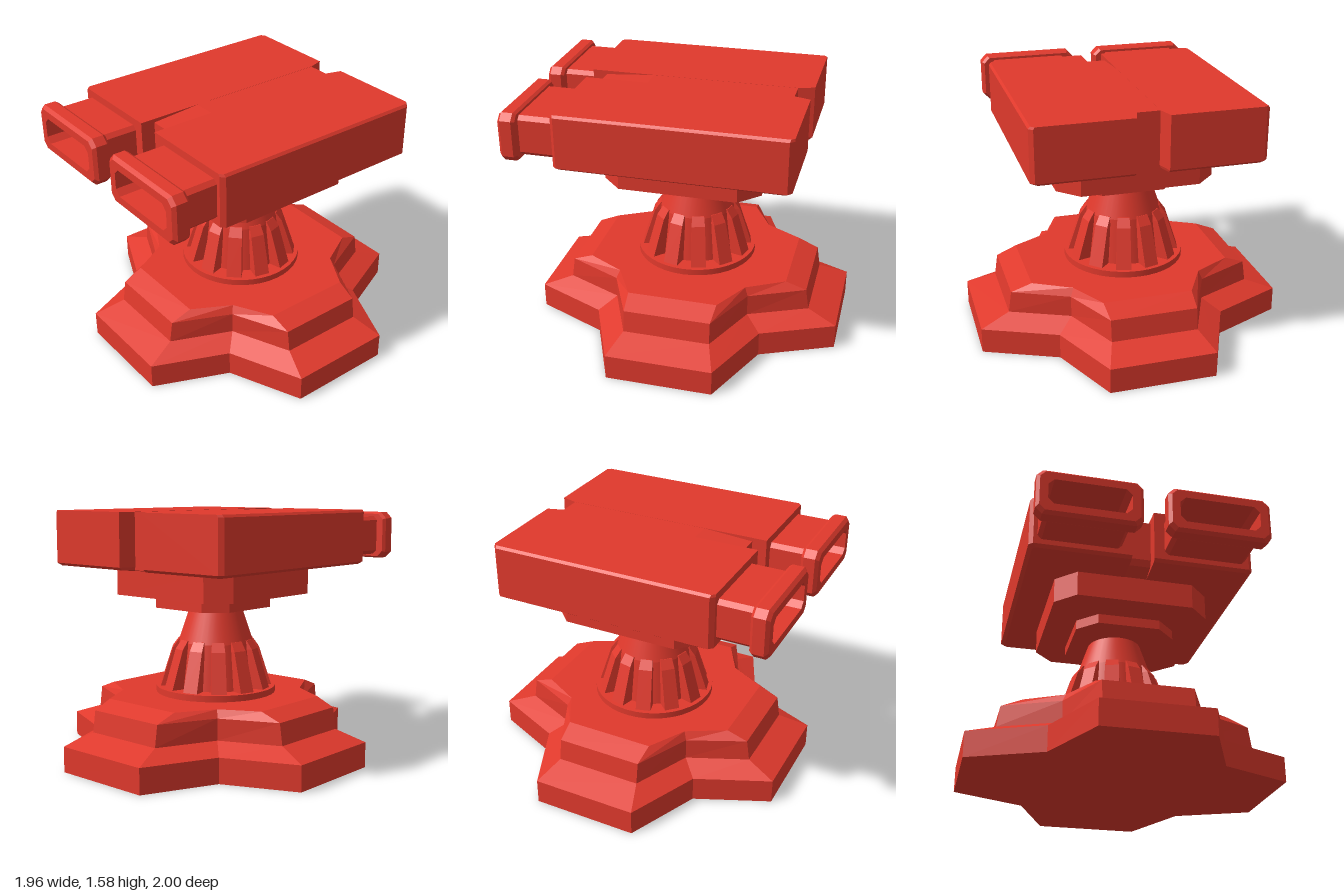
import * as THREE from 'three';

const flat = new THREE.MeshStandardMaterial({ color: 0xe0392c, flatShading: true });
const smooth = new THREE.MeshStandardMaterial({ color: 0xe0392c });

// Joins equal-length rings (counter-clockwise seen from the loft direction) and caps both ends.
function loft(rings) {
  const pos = [];
  const tri = (...pts) => pts.forEach((p) => pos.push(...p));
  const n = rings[0].length;
  const centre = (ring) => [0, 1, 2].map((k) => ring.reduce((s, p) => s + p[k], 0) / n);
  const first = rings[0], last = rings[rings.length - 1];
  const c0 = centre(first), c1 = centre(last);
  for (let j = 0; j < n; j++) {
    const k = (j + 1) % n;
    for (let i = 0; i < rings.length - 1; i++) {
      const a = rings[i], b = rings[i + 1];
      tri(a[j], a[k], b[k]);
      tri(a[j], b[k], b[j]);
    }
    tri(c0, first[k], first[j]);
    tri(c1, last[j], last[k]);
  }
  const g = new THREE.BufferGeometry();
  g.setAttribute('position', new THREE.Float32BufferAttribute(pos, 3));
  g.computeVertexNormals();
  return g;
}

const atY = (pts, y) => pts.map(([a, b]) => [a, y, -b]);
const atZ = (pts, z) => pts.map(([a, b]) => [a, b, z]);

// Rectangle with cut corners
const octagon = (hx, hy, c) => [
  [hx, -hy + c], [hx, hy - c], [hx - c, hy], [-hx + c, hy],
  [-hx, hy - c], [-hx, -hy + c], [-hx + c, -hy], [hx - c, -hy],
];

// Four-lobed outline: reach, half width of a lobe end, inner corner
function lobes(reach, half, inner) {
  const pts = [];
  for (let k = 0; k < 4; k++) {
    const c = [1, 0, -1, 0][k], s = [0, 1, 0, -1][k];
    for (const [x, y] of [[reach, -half], [reach, half], [inner, inner]]) {
      pts.push([x * c - y * s, x * s + y * c]);
    }
  }
  return pts;
}

export function createModel() {
  const model = new THREE.Group();
  const add = (name, geometry, x = 0, y = 0, z = 0, material = flat, parent = model) => {
    const mesh = new THREE.Mesh(geometry, material);
    mesh.name = name;
    mesh.position.set(x, y, z);
    parent.add(mesh);
    return mesh;
  };

  // Stepped base with four lobes
  add('base', loft([
    atY(lobes(0.98, 0.33, 0.527), 0),
    atY(lobes(0.98, 0.33, 0.527), 0.16),
    atY(lobes(0.795, 0.27, 0.43), 0.225),
    atY(lobes(0.775, 0.27, 0.43), 0.36),
    atY(lobes(0.645, 0.28, 0.41), 0.41),
  ]), 0, 0, -0.02);

  // Conical stem on a round collar
  const stem = new THREE.Group();
  stem.name = 'stem';
  stem.position.set(-0.028, 0, -0.013);
  model.add(stem);
  const drum = (name, top, bottom, y0, y1) =>
    add(name, new THREE.CylinderGeometry(top, bottom, y1 - y0, 40), 0, (y0 + y1) / 2, 0, smooth, stem);
  drum('collar', 0.387, 0.387, 0.40, 0.45);
  drum('lowerCone', 0.24, 0.28, 0.45, 0.74);
  drum('upperCone', 0.172, 0.24, 0.74, 0.945);
  drum('neck', 0.13, 0.13, 0.945, 0.97);

  // Twelve ribs around the lower cone
  const ribRing = (r0, r1, w, y) => atY([[r0, -w], [r1, -w], [r1, w], [r0, w]], y);
  const ribShape = loft([
    ribRing(0.2, 0.358, 0.048, 0.45),
    ribRing(0.2, 0.278, 0.043, 0.7),
    ribRing(0.18, 0.238, 0.038, 0.755),
  ]);
  for (let i = 0; i < 12; i++) {
    add('rib', ribShape, 0, 0, 0, flat, stem).rotation.y = ((i + 0.5) * Math.PI) / 6;
  }

  // Eight-sided mounting plates under the body
  add('mount', loft([
    atY(octagon(0.318, 0.318, 0.12), 0.96),
    atY(octagon(0.318, 0.318, 0.12), 1.022),
    atY(octagon(0.493, 0.49, 0.125), 1.045),
    atY(octagon(0.493, 0.49, 0.125), 1.215),
  ]), 0, 0, -0.015);

  // Outline of one half of the body: outer x, front z, back z, corner cut, notch x, inner x
  const half = (x, f, b, c, notch = 0.1, inner = 0.07) => [
    [inner, -f], [x - c, -f], [x, -f + c], [x, b - c], [x - c, b], [notch, b], [inner, b - 0.1],
  ];
  const halfBody = loft([
    atY(half(0.493, 0.475, 0.505, 0.12), 1.208),
    atY(half(0.68, 0.66, 0.71, 0.02), 1.228),
    atY(half(0.705, 0.68, 0.73, 0.025), 1.245),
    atY(half(0.705, 0.68, 0.73, 0.025), 1.56),
    atY(half(0.692, 0.68, 0.73, 0.02), 1.575),
  ]);

  // Hollow muzzle: neck, flange, rim, then inward to the floor of the opening
  const muzzle = loft([
    atZ(octagon(0.26, 0.125, 0.025), 0.6),
    atZ(octagon(0.26, 0.125, 0.025), 0.892),
    atZ(octagon(0.305, 0.14, 0.035), 0.892),
    atZ(octagon(0.32, 0.151, 0.04), 0.91),
    atZ(octagon(0.32, 0.151, 0.04), 0.98),
    atZ(octagon(0.3, 0.132, 0.035), 1.0),
    atZ(octagon(0.25, 0.084, 0.035), 1.0),
    atZ(octagon(0.25, 0.084, 0.035), 0.74),
  ]);

  for (const side of [1, -1]) {
    // A half turn about z plus a flip keeps the winding while mirroring x
    const mesh = add(side > 0 ? 'leftBody' : 'rightBody', halfBody);
    mesh.scale.x = side;
    add(side > 0 ? 'leftMuzzle' : 'rightMuzzle', muzzle, side * 0.395, 1.403, 0);
  }

  // Bar filling the gap between the halves, dipping towards the front
  const bar = [
    [-0.63, 1.225], [-0.48, 1.21], [0.48, 1.21], [0.57, 1.24],
    [0.59, 1.28], [0.59, 1.552], [0.28, 1.574], [-0.63, 1.574],
  ];
  const barGeometry = new THREE.ExtrudeGeometry(
    new THREE.Shape(bar.map(([z, y]) => new THREE.Vector2(z, y))), { depth: 0.15, bevelEnabled: false });
  barGeometry.rotateY(-Math.PI / 2);
  add('centreBar', barGeometry, 0.075, 0, 0);

  return model;
}
